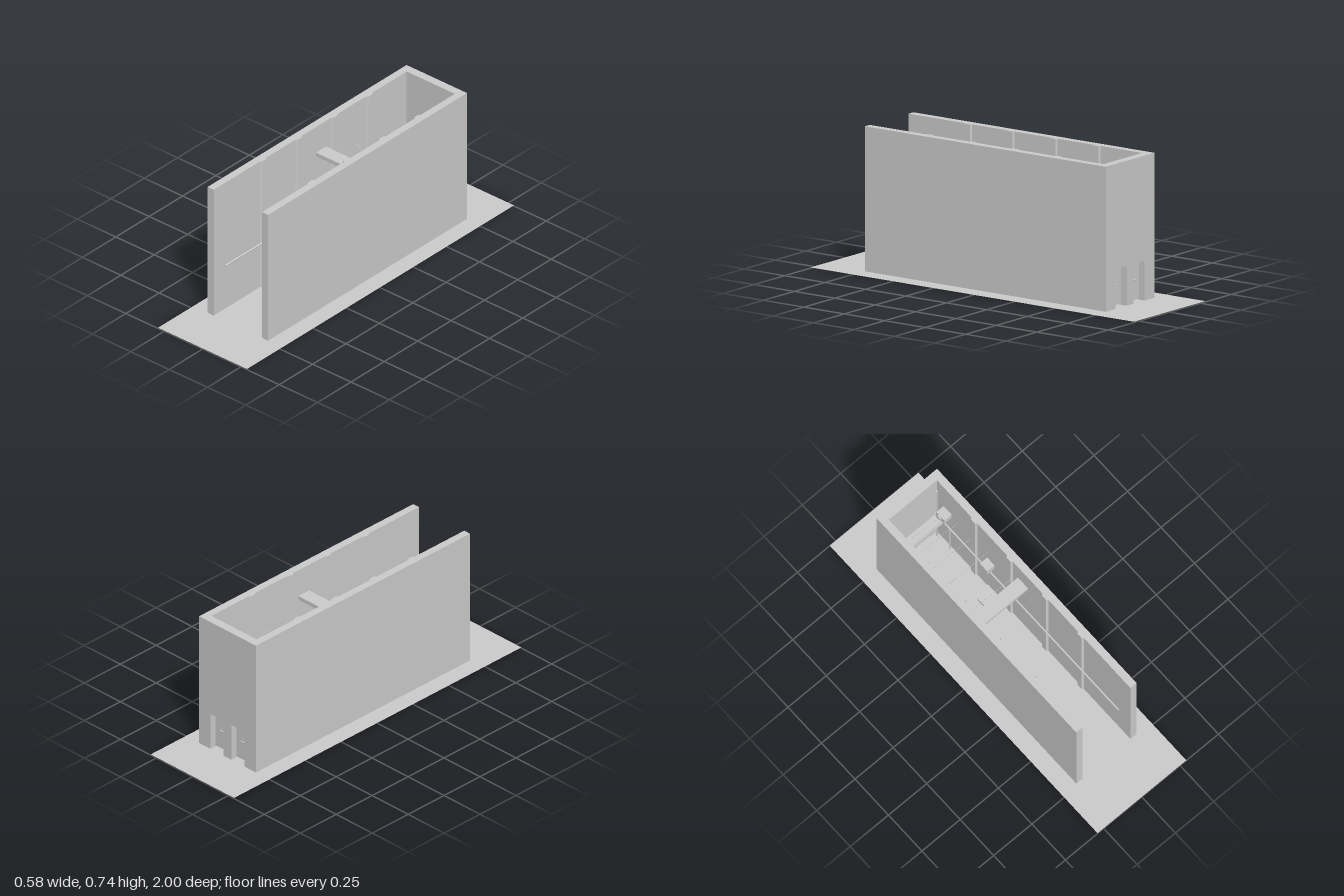
import * as THREE from 'three';

export function createModel() {
  const root = new THREE.Group();
  const grey = new THREE.MeshStandardMaterial({ color: 0xcccccc });
  grey.name = 'plain grey';
  const greyThin = grey; // every part shares one colour
  greyThin.side = THREE.DoubleSide;

  const add = (name, geo, x = 0, y = 0, z = 0, parent = root) => {
    const m = new THREE.Mesh(geo, grey);
    m.name = name;
    m.position.set(x, y, z);
    parent.add(m);
    return m;
  };
  // Box given by its limits on each axis
  const box = (name, x0, x1, y0, y1, z0, z1, parent = root) =>
    add(name, new THREE.BoxGeometry(x1 - x0, y1 - y0, z1 - z0),
      (x0 + x1) / 2, (y0 + y1) / 2, (z0 + z1) / 2, parent);
  // Round bar between two points
  const bar = (name, a, b, r, parent = root) => {
    const p = new THREE.Vector3(...a), q = new THREE.Vector3(...b);
    const m = add(name, new THREE.CylinderGeometry(r, r, p.distanceTo(q), 16), 0, 0, 0, parent);
    m.position.copy(p).lerp(q, 0.5);
    m.quaternion.setFromUnitVectors(new THREE.Vector3(0, 1, 0), q.sub(p).normalize());
    return m;
  };

  const G = 0.004, H = 0.735, IN = 0.157, OUT = 0.197;

  // Ground sheet
  add('ground', new THREE.PlaneGeometry(0.58, 2).rotateX(-Math.PI / 2), 0, G, 0);

  // Side walls with chamfered pilasters on the inside
  for (const s of [-1, 1]) {
    box('sideWall', Math.min(s * IN, s * OUT), Math.max(s * IN, s * OUT), G, H, -0.755, 0.735);
    for (const z of [0.365, 0.1, -0.165, -0.43]) {
      const p = new THREE.Shape();
      p.moveTo(-0.022, 0).lineTo(0.022, 0).lineTo(0.016, 0.009).lineTo(-0.016, 0.009).closePath();
      const g = new THREE.ExtrudeGeometry(p, { depth: H - G, bevelEnabled: false });
      g.rotateX(-Math.PI / 2);
      g.rotateY(s * Math.PI / 2);
      add('pilaster', g, s * IN, G, z);
    }
  }

  // Back wall with two doorways
  const wall = new THREE.Shape();
  wall.moveTo(-IN, G);
  for (const [a, b] of [[-0.118, -0.027], [0.027, 0.118]])
    wall.lineTo(a, G).lineTo(a, 0.205).lineTo(b, 0.205).lineTo(b, G);
  wall.lineTo(IN, G).lineTo(IN, H).lineTo(-IN, H).closePath();
  add('backWall', new THREE.ExtrudeGeometry(wall, { depth: 0.045, bevelEnabled: false }), 0, 0, -0.755);

  // Doors with rivets, grips, latches and lamps above
  for (const s of [-1, 1]) {
    const door = new THREE.Group();
    door.name = 'door';
    door.position.set(s * 0.0725, 0, -0.716);
    root.add(door);
    box('doorPanel', -0.0455, 0.0455, 0.01, 0.205, -0.004, 0.004, door);
    for (const f of [-1, 1]) {
      const grip = add('doorGrip', new THREE.CapsuleGeometry(0.004, 0.024, 4, 10), 0, 0.11, f * 0.005, door);
      grip.rotation.z = Math.PI / 2;
      box('latch', -0.003, 0.003, 0.128, 0.131, f * 0.005 - 0.002, f * 0.005 + 0.002, door);
      box('letterSlot', -0.006, 0.006, 0.174, 0.177, f * 0.005 - 0.002, f * 0.005 + 0.002, door);
    }
    const rivet = (x, y) => add('rivet', new THREE.SphereGeometry(0.001, 6, 4), x, y, 0.004, door);
    for (let i = 0; i < 8; i++) for (const x of [-0.042, 0.042]) rivet(x, 0.026 + i * 0.023);
    for (let i = 1; i < 6; i++) for (const y of [0.026, 0.187]) rivet(-0.042 + i * 0.014, y);
    box('lampBase', s * 0.07 - 0.012, s * 0.07 + 0.012, 0.235, 0.242, -0.69, -0.67);
    add('lampDome', new THREE.CylinderGeometry(0.009, 0.005, 0.004, 16), s * 0.07, 0.233, -0.68);
  }

  // Canopy ledge over the doors
  box('canopy', -IN, IN, 0.242, 0.255, -0.71, -0.655);
  box('canopyTop', -IN, IN, 0.255, 0.267, -0.71, -0.66);

  // Drain pipe between the doors
  bar('drainPipe', [0, G, -0.706], [0, 0.24, -0.706], 0.003);
  box('drainBracket', -0.005, 0.005, 0.092, 0.105, -0.71, -0.699);

  // Beam bridging the walls
  box('crossBeam', -IN, IN, 0.565, 0.587, -0.105, -0.03);

  // Long wall pipes and their uprights
  bar('leftWallPipe', [0.145, 0.29, -0.71], [0.145, 0.29, 0.66], 0.005);
  bar('rightWallPipe', [-0.148, 0.262, -0.71], [-0.148, 0.262, 0.66], 0.005);
  bar('leftUpright', [0.144, G, -0.6], [0.144, 0.29, -0.6], 0.004);
  bar('tallUpright', [0.143, G, -0.695], [0.143, 0.635, -0.695], 0.005);
  bar('rightUpright', [-0.145, G, -0.365], [-0.145, 0.237, -0.365], 0.004);
  add('pipeJoint', new THREE.SphereGeometry(0.007, 16, 12), -0.145, 0.237, -0.365);
  bar('slantedSpout', [-0.143, 0.237, -0.365], [-0.115, 0.157, -0.365], 0.006);

  // Wall-mounted units
  box('wallUnit', 0.109, IN, 0.355, 0.4, -0.335, -0.28);
  box('wallUnit', 0.109, IN, 0.42, 0.467, -0.66, -0.6);
  box('wallUnit', -IN, -0.109, 0.327, 0.373, -0.54, -0.48);
  const fan = add('unitFan', new THREE.CylinderGeometry(0.018, 0.018, 0.008, 20), 0.106, 0.443, -0.64);
  fan.rotation.z = Math.PI / 2;

  // Sagging cables: end height, middle height, z
  for (const [e, m, z] of [[0.52, 0.47, -0.155], [0.49, 0.43, -0.345], [0.463, 0.417, -0.46],
    [0.44, 0.397, -0.57], [0.393, 0.37, -0.66]]) {
    const pts = [];
    for (let i = -6; i <= 6; i++) {
      const t = i / 6;
      pts.push(new THREE.Vector3(t * IN, m + (e - m) * t * t * 1.1, z + 0.016 * t * t));
    }
    add('cable', new THREE.TubeGeometry(new THREE.CatmullRomCurve3(pts), 32, 0.0009, 6));
  }

  // Refuse bin with a sloping lid
  box('bin', 0.07, 0.14, 0, 0.084, -0.305, -0.185);
  const lid = add('binLid', new THREE.BoxGeometry(0.085, 0.005, 0.13), 0.098, 0.089, -0.245);
  lid.rotation.z = 0.15;

  // Pallet and cartons, turned a little
  const pile = new THREE.Group();
  pile.name = 'pallet';
  pile.position.set(-0.113, 0, -0.252);
  pile.rotation.y = 0.08;
  root.add(pile);
  for (const y of [0.007, 0.015, 0.024]) box('palletDeck', -0.034, 0.034, y, y + 0.005, -0.034, 0.034, pile);
  for (const x of [-0.03, 0, 0.025]) box('palletRunner', x - 0.004, x + 0.004, 0, 0.024, -0.032, 0.032, pile);
  box('carton', -0.033, -0.01, 0.029, 0.053, -0.03, 0.01, pile);
  box('carton', -0.01, 0.013, 0.029, 0.053, -0.025, 0.015, pile);

  return root;
}
